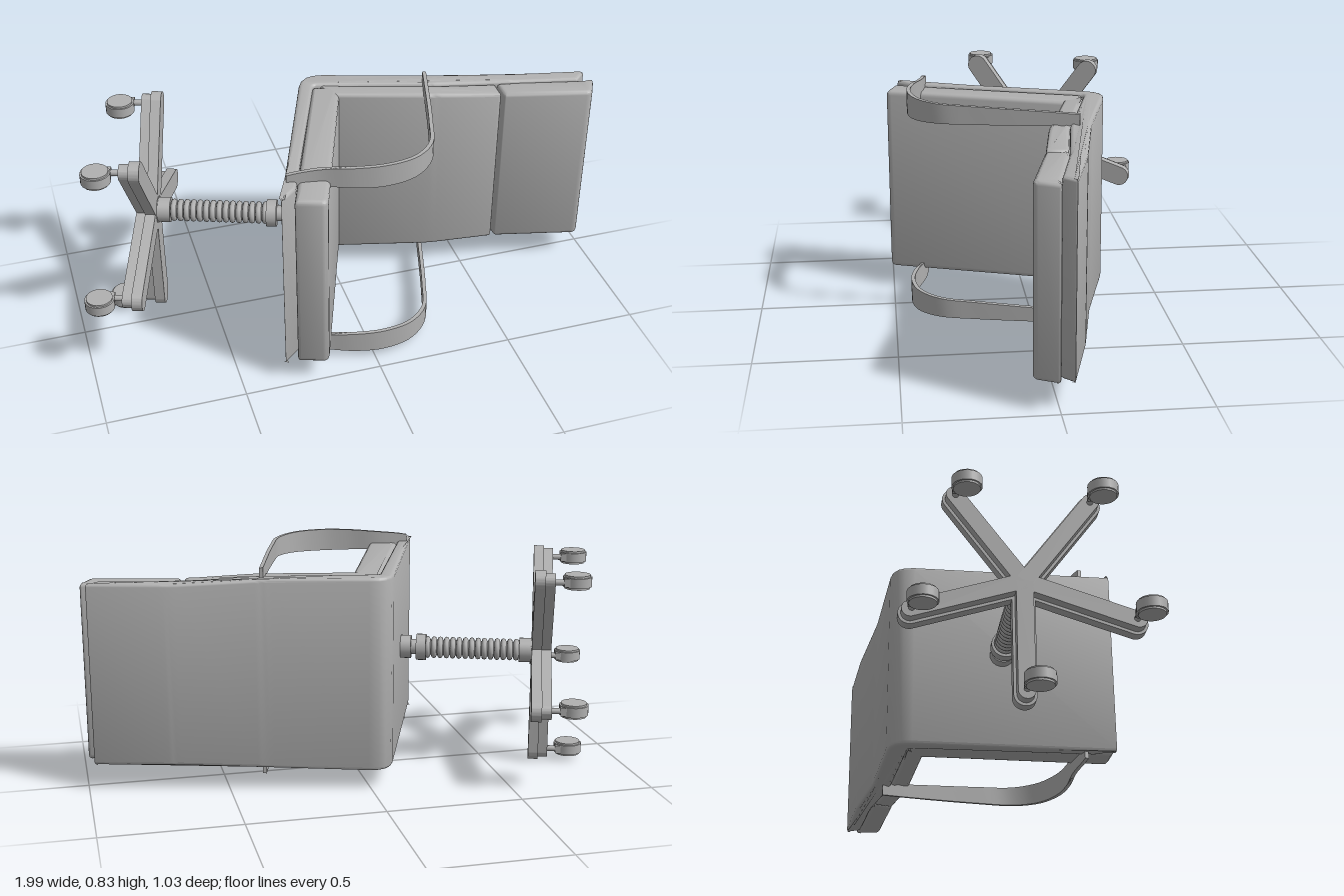
import * as THREE from 'three';
import { toCreasedNormals } from 'three/addons/utils/BufferGeometryUtils.js';

const MID = 0.443; // height of the chair's plane of symmetry
const TILT = THREE.MathUtils.degToRad(20);

export function createModel() {
  const root = new THREE.Group();
  root.name = 'recliningOfficeChair';
  const grey = new THREE.MeshStandardMaterial({ color: 0xb0b0b0 });
  grey.name = 'plainGrey';

  function add(parent, name, geometry) {
    const mesh = new THREE.Mesh(geometry, grey);
    mesh.name = name;
    parent.add(mesh);
    return mesh;
  }

  // Polygon in plan [x, z, cornerRadius] with softened corners
  function planShape(points) {
    const shape = new THREE.Shape();
    const n = points.length;
    points.forEach(([x, z, r], i) => {
      const p = new THREE.Vector2(x, -z);
      const [px, pz] = points[(i + n - 1) % n];
      const [nx, nz] = points[(i + 1) % n];
      const a = new THREE.Vector2(px, -pz).sub(p).setLength(r).add(p);
      const b = new THREE.Vector2(nx, -nz).sub(p).setLength(r).add(p);
      if (i === 0) shape.moveTo(a.x, a.y);
      else shape.lineTo(a.x, a.y);
      shape.quadraticCurveTo(p.x, p.y, b.x, b.y);
    });
    shape.closePath();
    return shape;
  }

  // The backrest narrows towards its top
  function taper(x) {
    if (x < 0) return 1;
    if (x < 0.37) return 1 - 0.02 * x / 0.37;
    if (x < 0.63) return 0.98 - 0.04 * (x - 0.37) / 0.26;
    return 0.94;
  }

  // Slab extruded along y with rounded edges
  function slab(name, points, half, bevel) {
    const geo = new THREE.ExtrudeGeometry(planShape(points), {
      depth: 2 * (half - bevel), curveSegments: 4, bevelEnabled: true,
      bevelSize: bevel, bevelOffset: -bevel, bevelThickness: bevel, bevelSegments: 3,
    });
    geo.translate(0, 0, bevel - half);
    geo.rotateX(-Math.PI / 2);
    const pos = geo.attributes.position;
    for (let i = 0; i < pos.count; i++) {
      pos.setY(i, MID + pos.getY(i) * taper(pos.getX(i)));
    }
    add(root, name, toCreasedNormals(geo, 0.6));
  }

  // One-piece shell under the seat and behind the back
  slab('shell', [
    [-0.345, 0.465, 0.006], [-0.065, -0.305, 0.08], [0.37, -0.185, 0.03],
    [0.70, -0.122, 0.03], [0.98, -0.048, 0.006], [0.935, -0.006, 0.006],
    [0.68, -0.065, 0.02], [0.39, -0.107, 0.02], [-0.04, -0.22, 0.02],
    [-0.28, 0.41, 0.01],
  ], 0.357, 0.012);

  // Cushions
  slab('seatCushion', [
    [-0.303, 0.476, 0.012], [-0.197, 0.512, 0.022],
    [0.053, -0.185, 0.01], [-0.045, -0.215, 0.01],
  ], 0.351, 0.018);
  slab('backCushion', [
    [-0.02, -0.212, 0.01], [0.06, -0.195, 0.01], [0.39, -0.107, 0.03],
    [0.628, -0.07, 0.008], [0.624, 0.006, 0.012], [0.38, -0.035, 0.04],
    [0.02, -0.135, 0.01],
  ], 0.351, 0.014);
  slab('headCushion', [
    [0.634, -0.072, 0.008], [0.70, -0.064, 0.02], [0.935, -0.008, 0.02],
    [0.998, 0.0, 0.012], [0.953, 0.088, 0.02], [0.634, 0.01, 0.012],
  ], 0.35, 0.016);

  // Armrests: thin bent ribbons, widest in the middle
  const armCurve = new THREE.CatmullRomCurve3([
    [-0.30, 0.362], [-0.18, 0.38], [-0.075, 0.415], [0.03, 0.431],
    [0.14, 0.41], [0.22, 0.34], [0.268, 0.21], [0.37, -0.145],
  ].map(([x, z]) => new THREE.Vector3(x, -z, 0)));
  const outer = [];
  const inner = [];
  for (let i = 0; i <= 32; i++) {
    const p = armCurve.getPoint(i / 32);
    const t = armCurve.getTangent(i / 32);
    outer.push(new THREE.Vector2(p.x + t.y * 0.007, p.y - t.x * 0.007));
    inner.unshift(new THREE.Vector2(p.x - t.y * 0.007, p.y + t.x * 0.007));
  }
  const armGeo = new THREE.ExtrudeGeometry(new THREE.Shape([...outer, ...inner]),
    { depth: 2, bevelEnabled: false });
  armGeo.translate(0, 0, -1);
  armGeo.rotateX(-Math.PI / 2);
  const armPos = armGeo.attributes.position;
  for (let i = 0; i < armPos.count; i++) {
    const t = THREE.MathUtils.clamp((armPos.getX(i) + 0.3) / 0.67, 0, 1);
    armPos.setY(i, armPos.getY(i) * (0.02 + 0.0215 * Math.pow(Math.sin(Math.PI * t), 0.7)));
  }
  const armSmooth = toCreasedNormals(armGeo, 0.6);
  add(root, 'leftArmrest', armSmooth).position.y = MID + 0.363;
  add(root, 'rightArmrest', armSmooth).position.y = MID - 0.363;

  // Undercarriage: local x runs up the column, origin on its axis
  const frame = new THREE.Group();
  frame.name = 'undercarriage';
  frame.rotation.y = -TILT;
  frame.position.set(-0.14 * Math.sin(TILT), 0.447, 0.14 * Math.cos(TILT));
  root.add(frame);

  function rod(name, from, to, radius, sides = 24) {
    const geo = new THREE.CylinderGeometry(radius, radius, to - from, sides);
    geo.rotateZ(-Math.PI / 2);
    return add(frame, name, geo.translate((from + to) / 2, 0, 0));
  }
  rod('hub', -0.725, -0.66, 0.05);
  rod('columnSocket', -0.67, -0.615, 0.046);
  rod('columnCore', -0.65, -0.14, 0.029);
  rod('lowerCollar', -0.262, -0.225, 0.05);
  rod('upperCollar', -0.205, -0.15, 0.044);

  // Coil rings around the column
  const ringGeo = new THREE.TorusGeometry(0.031, 0.0105, 8, 24).rotateY(Math.PI / 2);
  for (let i = 0; i < 15; i++) {
    add(frame, 'coilRing', ringGeo).position.x = -0.604 + i * 0.024;
  }

  // Round-ended bar pointing along +y, extruded along x
  function bar(halfWidth, length, x0, thickness) {
    const s = new THREE.Shape();
    s.moveTo(-halfWidth, 0);
    s.lineTo(halfWidth, 0);
    s.lineTo(halfWidth, length);
    s.absarc(0, length, halfWidth, 0, Math.PI, false);
    s.closePath();
    const geo = new THREE.ExtrudeGeometry(s, { depth: thickness, bevelEnabled: false, curveSegments: 12 });
    geo.rotateY(Math.PI / 2);
    return toCreasedNormals(geo.translate(x0, 0, 0), 0.6);
  }
  const legTop = bar(0.039, 0.395, -0.70, 0.038);
  const legRib = bar(0.029, 0.395, -0.735, 0.037);
  const wheelGeo = new THREE.CylinderGeometry(0.052, 0.052, 0.036, 24);
  const wheelHub = new THREE.CylinderGeometry(0.046, 0.046, 0.05, 24);
  const stemGeo = new THREE.CylinderGeometry(0.011, 0.011, 0.07, 12).rotateZ(Math.PI / 2);
  const forkGeo = new THREE.BoxGeometry(0.035, 0.03, 0.05);

  // Five legs, each with a trailing caster
  for (let k = 0; k < 5; k++) {
    const angle = Math.PI + k * Math.PI * 2 / 5;
    const leg = new THREE.Group();
    leg.name = 'leg';
    leg.rotation.x = angle;
    frame.add(leg);
    add(leg, 'legTop', legTop);
    add(leg, 'legRib', legRib);

    const caster = new THREE.Group();
    caster.name = 'caster';
    caster.position.set(-0.813, 0.39 * Math.cos(angle), 0.39 * Math.sin(angle));
    frame.add(caster);
    add(caster, 'wheel', wheelGeo).position.z = 0.03;
    add(caster, 'wheelHub', wheelHub).position.z = 0.03;
    add(caster, 'stem', stemGeo).position.x = 0.06;
    add(caster, 'fork', forkGeo).position.set(0.03, 0, 0.01);
  }
  return root;
}
